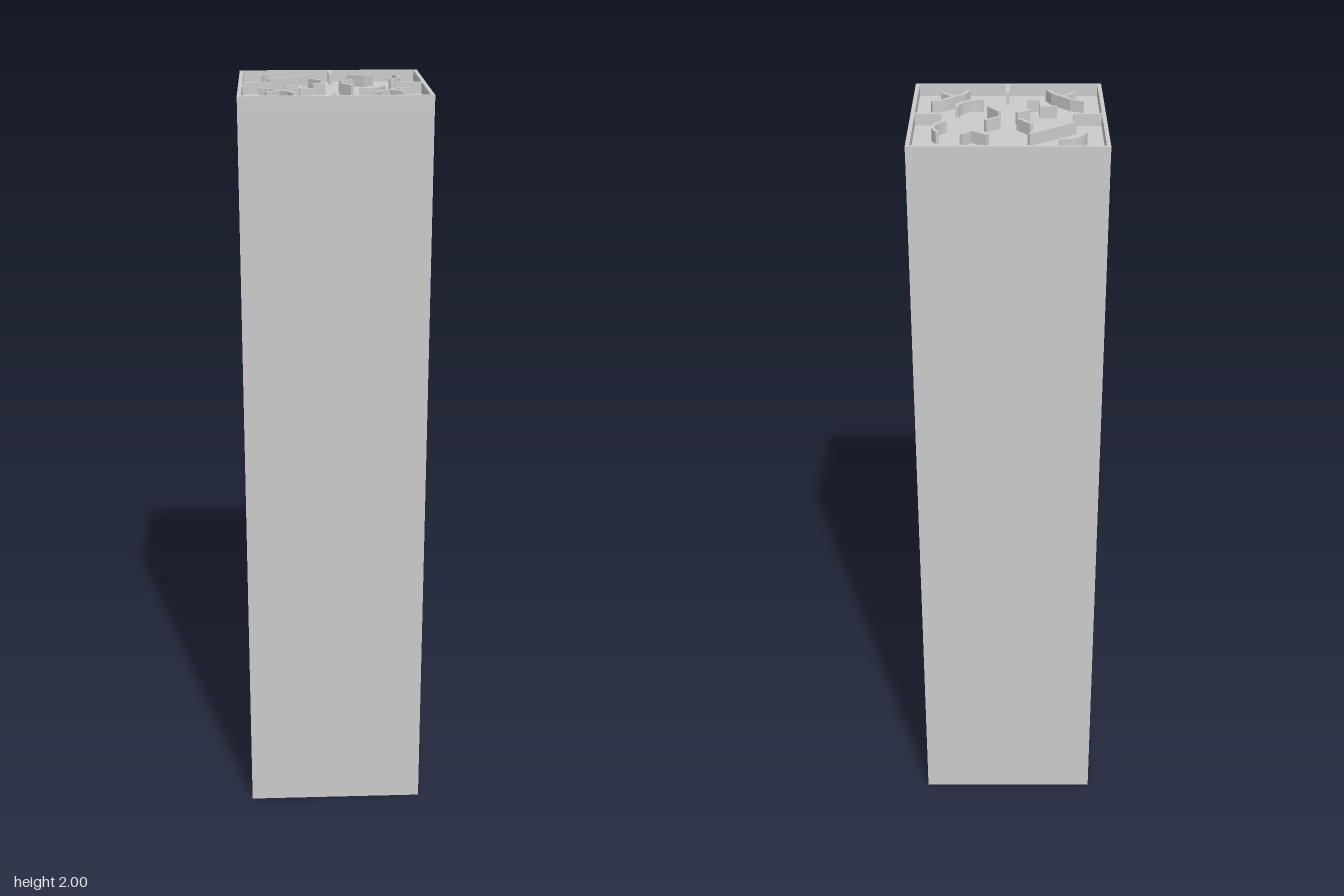
import * as THREE from 'three';

const TOP = 2, FLOOR = 1.97, OUTER = 0.24, INNER = 0.23, RIB = 0.009;
const material = new THREE.MeshStandardMaterial({ color: 0xcccccc, flatShading: true });

// Extrude a plan shape (x, z) from the sunken floor up to the top
function raise(shape, name) {
  const geometry = new THREE.ExtrudeGeometry(shape, { depth: TOP - FLOOR, bevelEnabled: false });
  geometry.rotateX(Math.PI / 2).translate(0, TOP, 0);
  const mesh = new THREE.Mesh(geometry, material);
  mesh.name = name;
  return mesh;
}

// Ribbon of constant width with mitred corners along a plan path
function ribbon(path) {
  const pts = path.map(([x, z]) => new THREE.Vector2(x, z));
  const normal = (a, b) => new THREE.Vector2(a.y - b.y, b.x - a.x).normalize();
  const offsets = pts.map((p, i) => {
    const n1 = normal(pts[Math.max(i - 1, 0)], pts[Math.max(i, 1)]);
    const n2 = i < pts.length - 1 ? normal(p, pts[i + 1]) : n1;
    const m = n1.clone().add(n2).normalize();
    return m.multiplyScalar(RIB / 2 / m.dot(n1));
  });
  const left = pts.map((p, i) => p.clone().add(offsets[i]));
  const right = pts.map((p, i) => p.clone().sub(offsets[i])).reverse();
  return new THREE.Shape([...left, ...right]);
}

function arc(cx, cz, r, from, to, steps = 12) {
  return Array.from({ length: steps + 1 }, (_, i) => {
    const a = THREE.MathUtils.degToRad(from + ((to - from) * i) / steps);
    return [cx + r * Math.cos(a), cz + r * Math.sin(a)];
  });
}

const square = (s) => [[-s, -s], [s, -s], [s, s], [-s, s]].map(([x, z]) => new THREE.Vector2(x, z));

export function createModel() {
  const model = new THREE.Group();
  model.name = 'column';

  // Tall shaft, slightly shallower than the rim
  const shaft = new THREE.Mesh(new THREE.BoxGeometry(2 * OUTER, FLOOR, 0.474), material);
  shaft.name = 'shaft';
  shaft.position.y = FLOOR / 2;
  model.add(shaft);

  // Raised square rim
  const frame = new THREE.Shape(square(OUTER));
  frame.holes.push(new THREE.Path(square(INNER).reverse()));
  model.add(raise(frame, 'rim'));

  // Ribs standing on the sunken top
  const ribs = {
    backDivider: [[0.002, -0.232], [0.002, -0.162]],
    frontDivider: [[0.002, 0.162], [0.002, 0.232]],
    rightDivider: [[-0.232, 0], [-0.16, 0]],
    leftDivider: [[0.164, 0], [0.232, 0]],
    backArc: arc(-0.131, -0.13, 0.054, 180, 282),
    sideArc: arc(0.126, -0.102, 0.054, -38, 62),
    frontArc: arc(0.073, 0.052, 0.055, 0, 100),
    longBar: [[-0.163, -0.063], [-0.049, -0.148]],
    angledRib: [[0.048, -0.155], [0.089, -0.124], [0.112, -0.154]],
    shortBarA: [[-0.056, -0.075], [-0.024, -0.035]],
    shortBarB: [[0.021, -0.024], [0.056, -0.05]],
    shortBarC: [[-0.053, 0.031], [-0.02, 0.008]],
    shortBarD: [[0.022, 0.018], [0.049, 0.056]],
    steppedRib: [[-0.122, 0.056], [-0.082, 0.056], [-0.082, 0.106], [-0.047, 0.106]],
    rightFork: [[-0.188, 0.097], [-0.158, 0.111], [-0.113, 0.16], [-0.1, 0.19]],
    rightForkStem: [[-0.137, 0.137], [-0.17, 0.167]],
    leftFork: [[0.193, 0.095], [0.162, 0.109], [0.114, 0.154], [0.1, 0.184]],
    leftForkStem: [[0.139, 0.133], [0.169, 0.165]],
  };
  for (const [name, path] of Object.entries(ribs)) model.add(raise(ribbon(path), name));

  return model;
}
